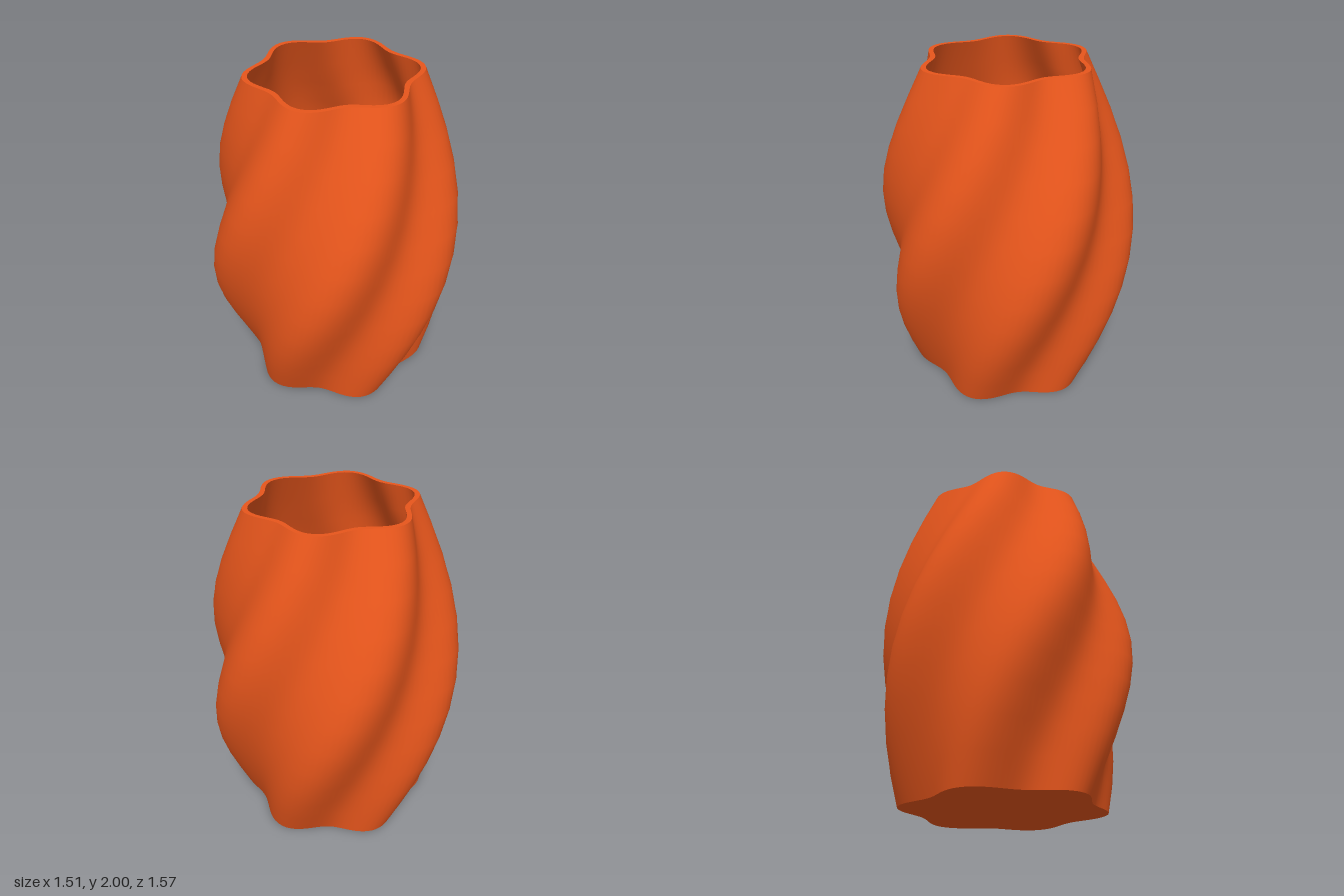
import * as THREE from 'three';

const HEIGHT = 2, LOBES = 6, SIDES = 120, STEPS = 12;
const WALL = 0.03, FLOOR = 0.04;
const RIPPLE = 0.08;
const TWIST = THREE.MathUtils.degToRad(80);

// Swelling body radius, without the lobes
const bodyRadius = (t) => THREE.MathUtils.lerp(0.56, 0.467, t) + 0.213 * Math.sin(Math.PI * t);

// One lobed outline at height y, turned by the twist; scale 0 collapses it to the axis
function ring(y, inset = 0, scale = 1) {
  const t = y / HEIGHT;
  return Array.from({ length: SIDES }, (_, i) => {
    const a = (i / SIDES) * Math.PI * 2;
    const lobes = 1 + RIPPLE * Math.cos(LOBES * (a + TWIST * t));
    const r = (bodyRadius(t) * lobes - inset) * scale;
    return [r * Math.cos(a), y, r * Math.sin(a)];
  });
}

// Skin joining successive outlines; faces outward when the outlines go upward
function loft(rings) {
  const index = [];
  for (let j = 0; j < rings.length - 1; j++) {
    for (let i = 0; i < SIDES; i++) {
      const k = (i + 1) % SIDES;
      const a = j * SIDES + i, b = j * SIDES + k;
      const c = a + SIDES, d = b + SIDES;
      index.push(a, c, b, b, c, d);
    }
  }
  const geometry = new THREE.BufferGeometry();
  geometry.setAttribute('position', new THREE.Float32BufferAttribute(rings.flat(2), 3));
  geometry.setIndex(index);
  geometry.computeVertexNormals();
  return geometry;
}

// Outlines evenly spaced between two heights
const stack = (from, to, inset) =>
  Array.from({ length: STEPS + 1 }, (_, j) => ring(from + ((to - from) * j) / STEPS, inset));

export function createModel() {
  const vase = new THREE.Group();
  vase.name = 'twistedVase';
  const clay = new THREE.MeshStandardMaterial({ color: 0xe8561c });
  clay.name = 'orange clay';

  const add = (name, rings) => {
    const mesh = new THREE.Mesh(loft(rings), clay);
    mesh.name = name;
    vase.add(mesh);
  };

  add('outerWall', stack(0, HEIGHT, 0));
  add('innerWall', stack(HEIGHT, FLOOR, WALL));
  add('rim', [ring(HEIGHT), ring(HEIGHT, WALL)]);
  add('innerFloor', [ring(FLOOR, WALL), ring(FLOOR, WALL, 0)]);
  add('base', [ring(0, 0, 0), ring(0)]);
  return vase;
}
